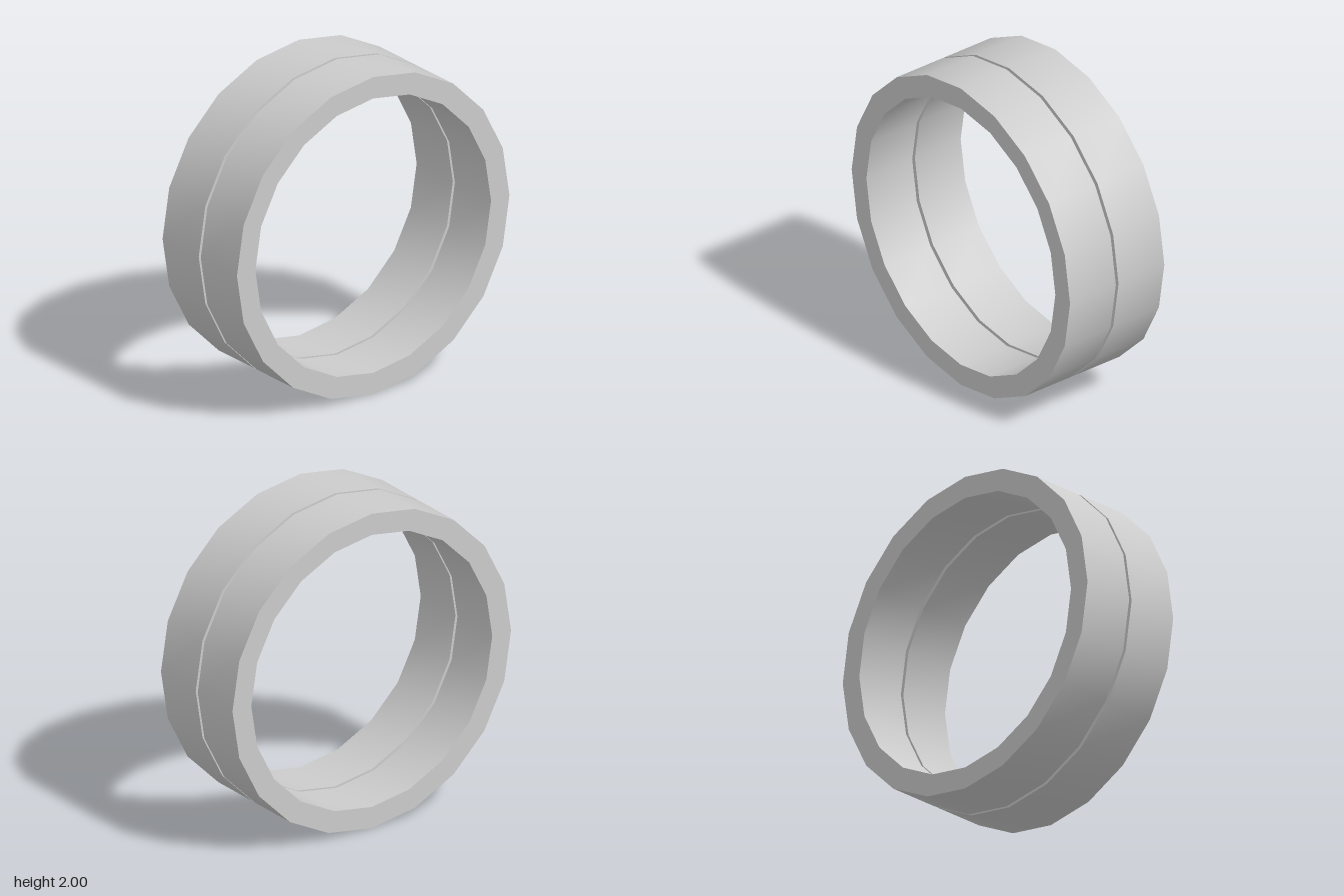
import * as THREE from 'three';
import { toCreasedNormals } from 'three/addons/utils/BufferGeometryUtils.js';

const OUTER = 1, INNER = 0.865, SIDES = 20;
const GAP = 0.01, EDGE = 0.355; // inner and outer faces of each band along x

export function createModel() {
  const group = new THREE.Group();
  group.name = 'splitRing';
  const material = new THREE.MeshStandardMaterial({ color: 0xcccccc });

  // Closed rectangular section, turned around the axis
  const half = (EDGE - GAP) / 2;
  const profile = [
    [OUTER, -half], [OUTER, half], [INNER, half], [INNER, -half], [OUTER, -half],
  ].map(([r, y]) => new THREE.Vector2(r, y));
  const lathe = new THREE.LatheGeometry(profile, SIDES);
  // Smooth round walls, sharp rims
  const geometry = toCreasedNormals(lathe, Math.PI / 6);
  geometry.rotateZ(-Math.PI / 2);

  // Two matching bands side by side with a narrow gap
  for (const [name, side] of [['leftBand', 1], ['rightBand', -1]]) {
    const band = new THREE.Mesh(geometry, material);
    band.name = name;
    band.position.set(side * (GAP + half), OUTER, 0);
    group.add(band);
  }
  return group;
}
